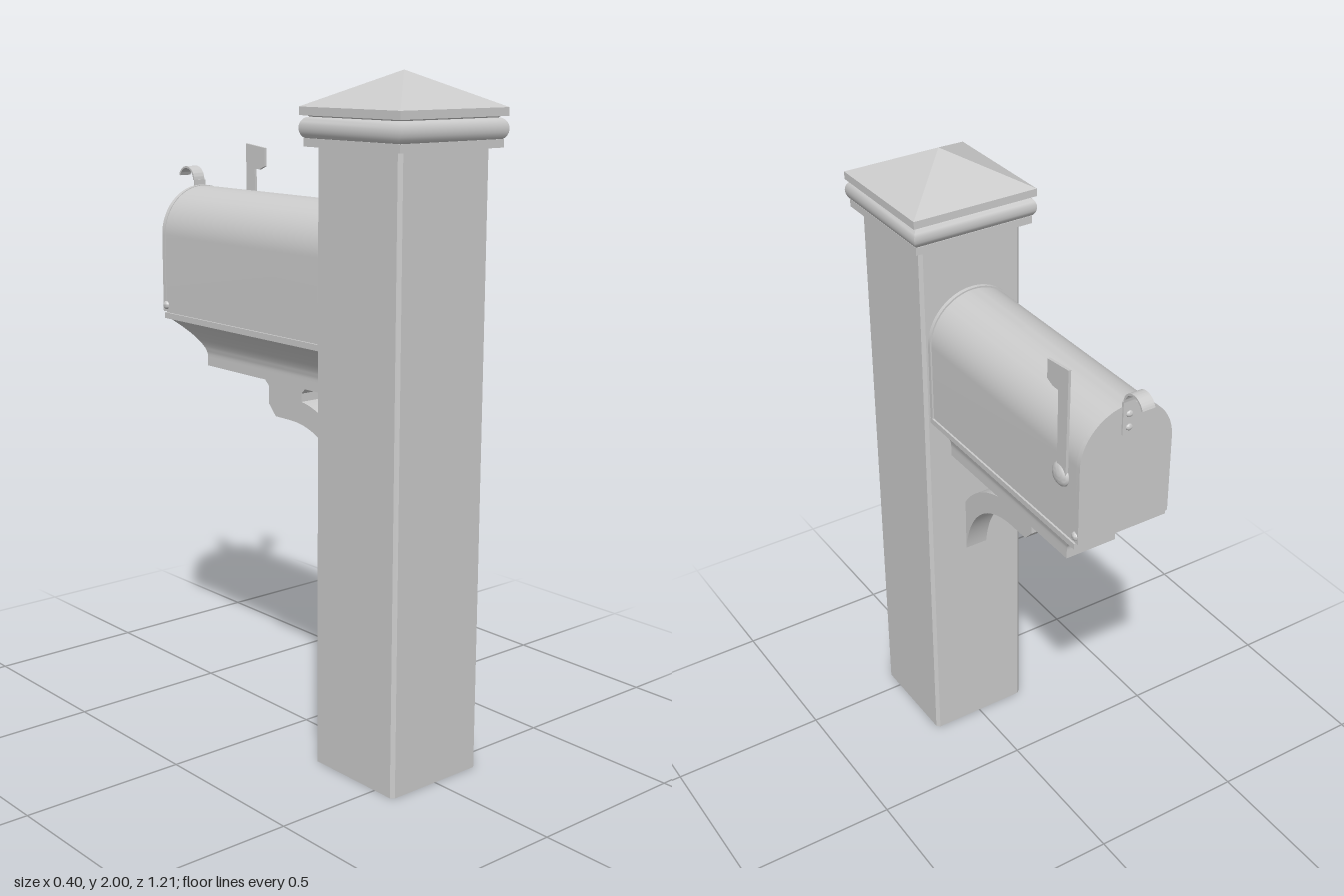
import * as THREE from 'three';
import { toCreasedNormals } from 'three/addons/utils/BufferGeometryUtils.js';

const material = new THREE.MeshStandardMaterial({ color: 0xcccccc, side: THREE.DoubleSide });
const POST_Z = 0.407;
const BACK_Z = 0.242;

export function createModel() {
  const model = new THREE.Group();
  model.name = 'mailbox';

  const add = (name, geometry, parent = model) => {
    const mesh = new THREE.Mesh(toCreasedNormals(geometry, 0.6), material);
    mesh.name = name;
    parent.add(mesh);
    return mesh;
  };

  // Square turning: profile points are [half width, y]
  const squareLathe = (points) =>
    new THREE.LatheGeometry(
      points.map(([r, y]) => new THREE.Vector2(r * Math.SQRT2, y)), 4, Math.PI / 4
    ).translate(0, 0, POST_Z);

  // Side profile drawn as (-z, y), extruded from x0 to x1
  const sideExtrude = (shape, x0, x1) =>
    new THREE.ExtrudeGeometry(shape, { depth: x1 - x0, bevelEnabled: false, curveSegments: 20 })
      .rotateY(Math.PI / 2).translate(x0, 0, 0);

  // Arched section extruded from z0 to z1
  const archExtrude = (r, bottom, z0, z1) => {
    const shape = new THREE.Shape();
    shape.moveTo(-r, bottom);
    shape.lineTo(r, bottom);
    shape.absarc(0, 1.487, r, 0, Math.PI, false);
    shape.closePath();
    return new THREE.ExtrudeGeometry(shape, { depth: z1 - z0, bevelEnabled: false, curveSegments: 24 })
      .translate(0, 0, z0);
  };

  // Post with chamfered corners
  const h = 0.167, c = 0.01;
  const section = new THREE.Shape([
    [h - c, -h], [h, c - h], [h, h - c], [h - c, h], [c - h, h], [-h, h - c], [-h, c - h], [c - h, -h],
  ].map(([x, y]) => new THREE.Vector2(x, y)));
  add('post', new THREE.ExtrudeGeometry(section, { depth: 1.8, bevelEnabled: false })
    .rotateX(-Math.PI / 2).translate(0, 0, POST_Z));

  // Cap: lower band, rounded moulding, neck, slab and pyramid
  const roll = [];
  for (let i = 0; i <= 10; i++) {
    const a = -Math.PI / 2 + (Math.PI * i) / 10;
    roll.push([0.18 + 0.021 * Math.cos(a), 1.845 + 0.03 * Math.sin(a)]);
  }
  add('capMoulding', squareLathe([
    [0, 1.795], [0.191, 1.795], [0.191, 1.818], [0.18, 1.818], ...roll, [0.185, 1.88],
  ]));
  add('capRoof', squareLathe([[0, 1.879], [0.2, 1.879], [0.2, 1.902], [0, 2]]));

  // Arched box, its door, rear flange and floor plate
  add('boxBody', archExtrude(0.146, 1.24, -0.508, BACK_Z));
  add('door', archExtrude(0.148, 1.248, -0.522, -0.508));
  add('rearFlange', archExtrude(0.151, 1.24, 0.228, BACK_Z));
  add('floorPlate', new THREE.BoxGeometry(0.304, 0.018, BACK_Z + 0.51)
    .translate(0, 1.236, (BACK_Z - 0.51) / 2));

  // Cove base flaring outward on three sides
  const cove = new THREE.BoxGeometry(2, 1, 2, 1, 16, 1);
  const p = cove.attributes.position;
  for (let i = 0; i < p.count; i++) {
    const t = p.getY(i) + 0.5;
    const flare = Math.pow(Math.max(0, (t - 0.25) / 0.75), 1.6);
    p.setXYZ(i,
      p.getX(i) * (0.083 + 0.063 * flare),
      1.086 + 0.144 * t,
      p.getZ(i) > 0 ? BACK_Z : -0.38 - 0.12 * flare);
  }
  add('coveBase', cove);

  // Curved support bracket
  const bracket = new THREE.Shape();
  bracket.moveTo(-0.242, 0.7);
  bracket.bezierCurveTo(-0.225, 0.86, -0.12, 0.965, 0.03, 0.965);
  bracket.lineTo(0.1, 0.965);
  bracket.lineTo(0.133, 1);
  bracket.lineTo(0.133, 1.055);
  bracket.lineTo(0.15, 1.07);
  bracket.lineTo(0.15, 1.09);
  bracket.lineTo(-0.042, 1.09);
  bracket.lineTo(-0.042, 1.075);
  bracket.lineTo(-0.022, 1.055);
  bracket.lineTo(-0.022, 1.03);
  bracket.bezierCurveTo(-0.11, 1.02, -0.2, 0.96, -0.242, 0.89);
  bracket.closePath();
  add('bracket', sideExtrude(bracket, -0.037, 0.037));

  // Signal flag on the left side
  const flag = new THREE.Group();
  flag.name = 'signalFlag';
  model.add(flag);
  const arm = new THREE.Shape([
    [0.43, 1.43], [0.47, 1.43], [0.474, 1.76], [0.38, 1.75], [0.38, 1.693], [0.405, 1.682], [0.43, 1.682],
  ].map(([x, y]) => new THREE.Vector2(x, y)));
  add('flagArm', sideExtrude(arm, 0.148, 0.156), flag);
  add('flagPivot', new THREE.SphereGeometry(0.036, 20, 8, 0, Math.PI * 2, 0, Math.PI / 2)
    .scale(1, 0.5, 1).rotateZ(-Math.PI / 2).translate(0.148, 1.43, -0.44), flag);

  // Hinge pins at the foot of the door
  for (const side of [-1, 1]) {
    add('hingePin', new THREE.SphereGeometry(0.013, 12, 8)
      .scale(0.7, 1, 1).translate(side * 0.147, 1.268, -0.507));
  }

  // Door handle: curled strip with two rivets
  const strip = new THREE.Shape();
  strip.moveTo(0.52, 1.55);
  strip.lineTo(0.527, 1.55);
  strip.lineTo(0.527, 1.65);
  strip.absarc(0.566, 1.65, 0.035, Math.PI, 0.3, true);
  strip.absarc(0.566, 1.65, 0.041, 0.3, Math.PI, false);
  strip.lineTo(0.52, 1.65);
  strip.closePath();
  add('doorHandle', sideExtrude(strip, -0.02, 0.02));
  for (const y of [1.57, 1.61]) {
    add('handleRivet', new THREE.SphereGeometry(0.01, 10, 8)
      .scale(1, 1, 0.7).translate(0, y, -0.527));
  }

  return model;
}
